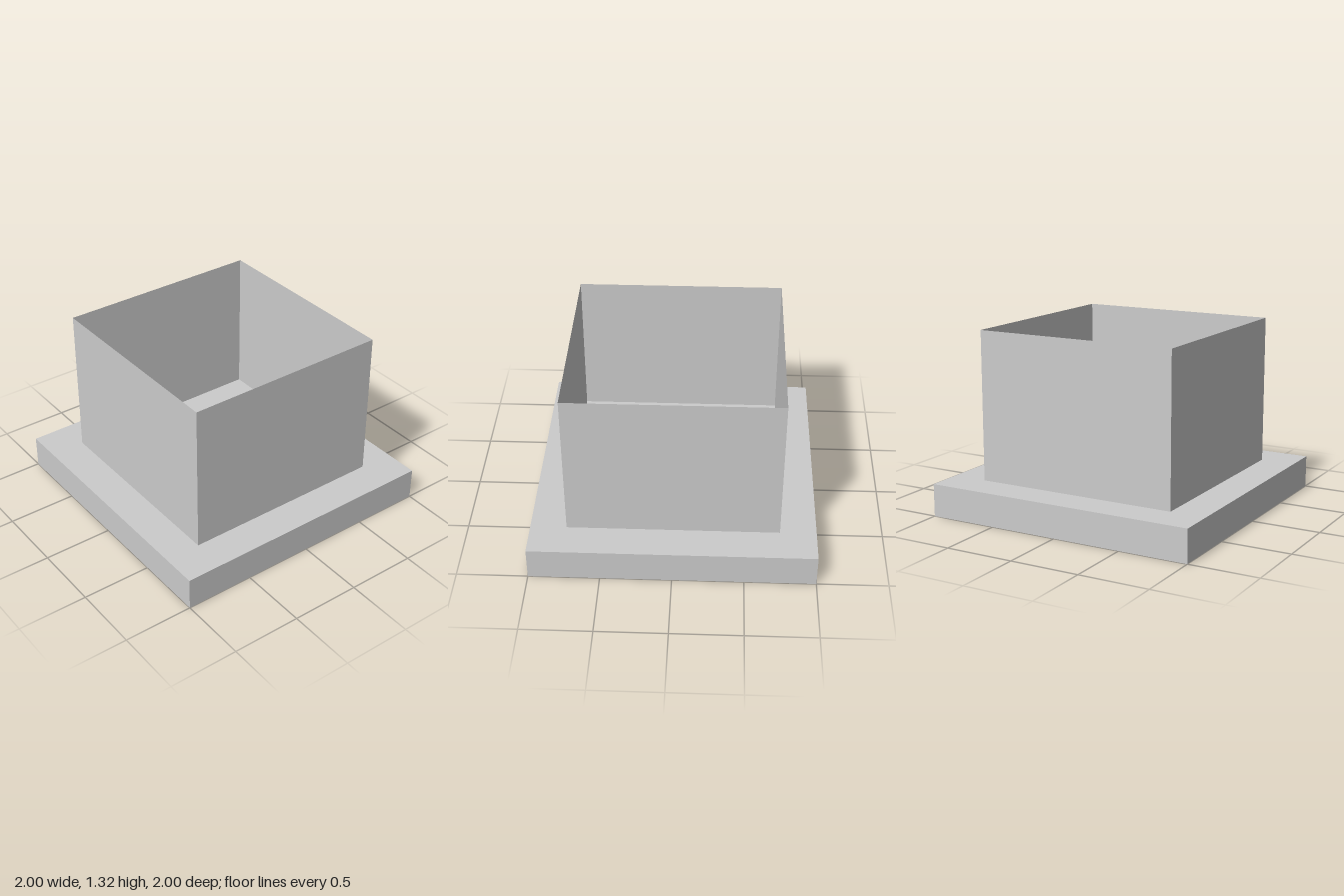
import * as THREE from 'three';

const BASE_HEIGHT = 0.235;
const TOP = 1.315;
const HALF_WIDTH = 0.745;

export function createModel() {
  const model = new THREE.Group();
  model.name = 'openBoxOnBase';

  // Square slab
  const base = new THREE.Mesh(
    new THREE.BoxGeometry(2, BASE_HEIGHT, 2),
    new THREE.MeshStandardMaterial({ color: 0xcccccc, flatShading: true })
  );
  base.name = 'base';
  base.position.y = BASE_HEIGHT / 2;
  model.add(base);

  // Thin walls, open at the top: a four-sided tube turned square to the base
  const radius = HALF_WIDTH * Math.SQRT2;
  const height = TOP - BASE_HEIGHT;
  const walls = new THREE.Mesh(
    new THREE.CylinderGeometry(radius, radius, height, 4, 1, true).rotateY(Math.PI / 4),
    new THREE.MeshStandardMaterial({ color: 0xcccccc, flatShading: true, side: THREE.DoubleSide })
  );
  walls.name = 'walls';
  walls.position.y = BASE_HEIGHT + height / 2;
  model.add(walls);

  return model;
}
